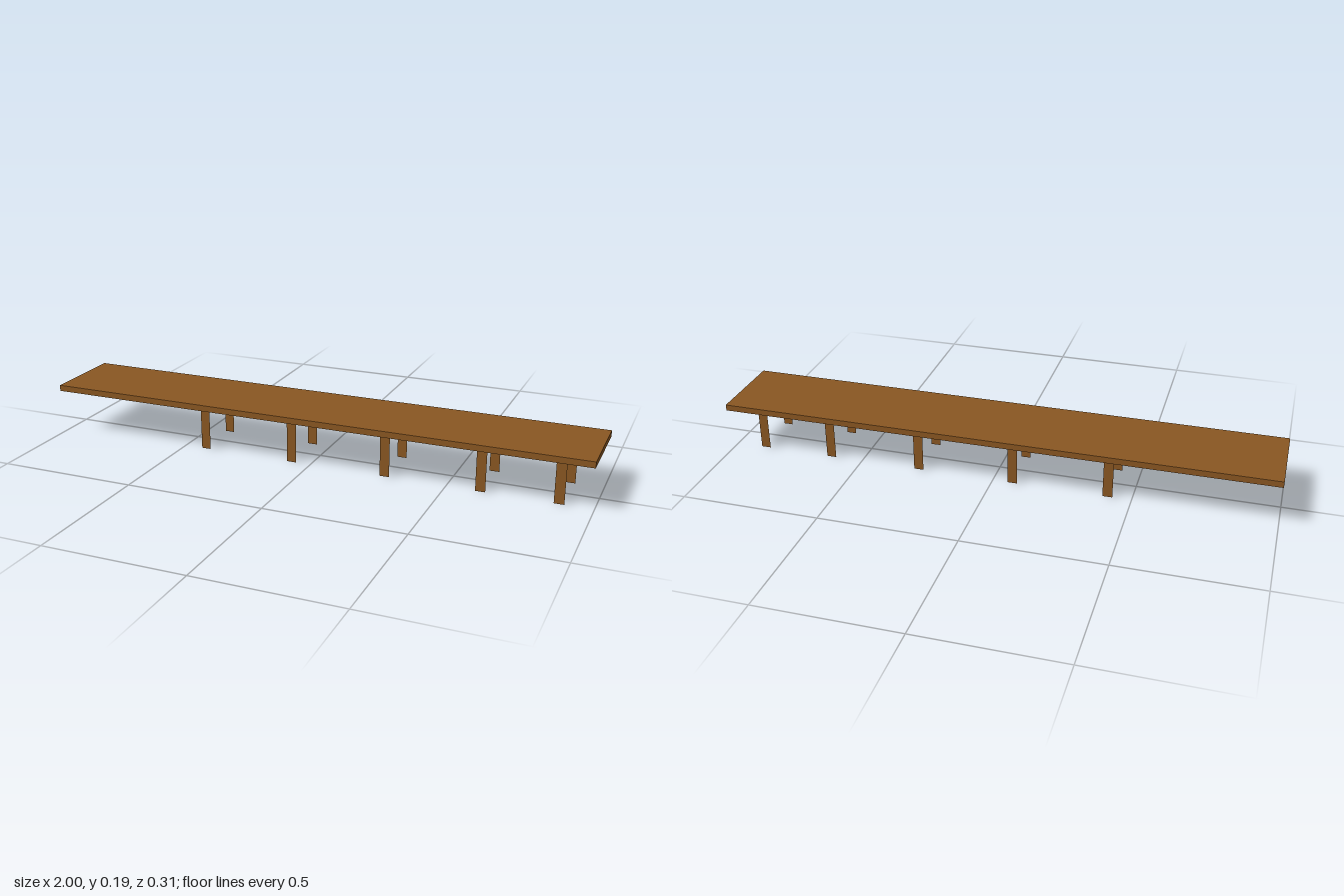
import * as THREE from 'three';

export function createModel() {
  const group = new THREE.Group();
  const wood = new THREE.MeshStandardMaterial({ color: 0x8a5722, side: THREE.DoubleSide });
  wood.name = 'brown wood';

  const top = 0.188, rim = 0.022, halfX = 1, halfZ = 0.153;

  // Thin sheet of timber, upright and facing +z unless rotated
  function sheet(name, w, h, x, y, z, rx = 0, ry = 0) {
    const mesh = new THREE.Mesh(new THREE.PlaneGeometry(w, h), wood);
    mesh.name = name;
    mesh.position.set(x, y, z);
    mesh.rotation.set(rx, ry, 0);
    group.add(mesh);
  }

  // Walking surface
  sheet('deck', halfX * 2, halfZ * 2, 0, top, 0, -Math.PI / 2);

  // Fascia along both sides and the left end; the right end is open
  const rimY = top - rim / 2;
  sheet('frontFascia', halfX * 2, rim, 0, rimY, halfZ);
  sheet('backFascia', halfX * 2, rim, 0, rimY, -halfZ, 0, Math.PI);
  sheet('endFascia', halfZ * 2, rim, halfX, rimY, 0, 0, Math.PI / 2);

  // Pairs of flat posts set in from the edges
  for (const x of [-0.415, -0.072, 0.279, 0.62, 0.885]) {
    sheet('frontPost', 0.035, top, x, top / 2, 0.096);
    sheet('backPost', 0.035, top, x, top / 2, -0.096, 0, Math.PI);
  }

  return group;
}
